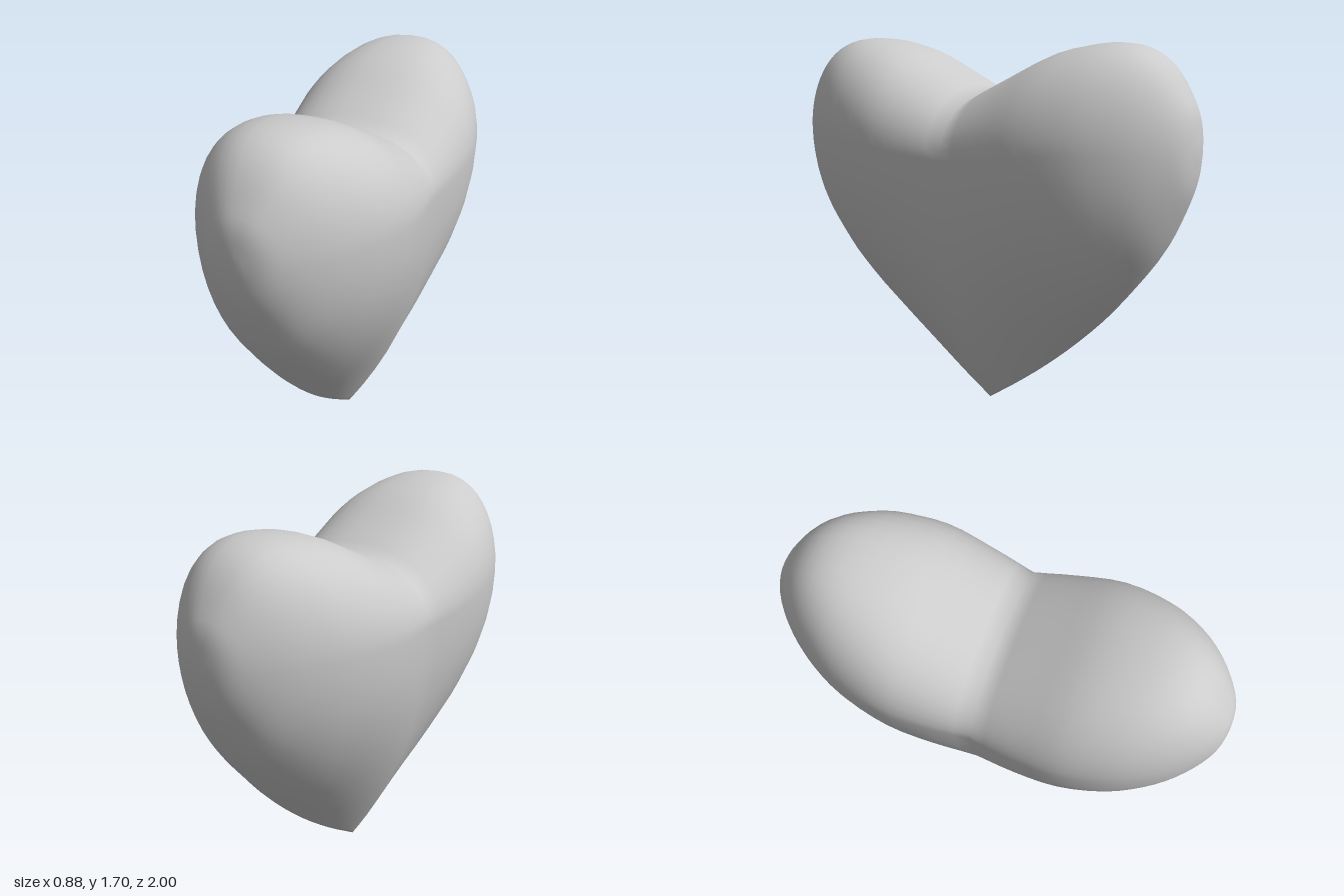
import * as THREE from 'three';

// Half of the heart, from the middle notch to the rounded end.
// [z, top y, bottom y], [half width, height of widest point, lower taper exponent]
const stations = [
  [[0, 1.46, 0], [0.4, 1.2, 2]],
  [[0.2, 1.56, 0.14], [0.43, 1.22, 1.9]],
  [[0.4, 1.655, 0.3], [0.44, 1.25, 1.7]],
  [[0.6, 1.695, 0.49], [0.4, 1.27, 1.4]],
  [[0.75, 1.68, 0.67], [0.33, 1.27, 1.2]],
  [[0.86, 1.61, 0.83], [0.25, 1.27, 1]],
  [[0.945, 1.49, 1.01], [0.16, 1.27, 1]],
  [[0.985, 1.4, 1.13], [0.085, 1.27, 1]],
  [[1, 1.27, 1.27], [0, 1.27, 1]],
];
const STEPS = 24; // sections per half
const SIDES = 40; // points around each section

function heartGeometry() {
  const spline = (k) => new THREE.CatmullRomCurve3(
    stations.map((s) => new THREE.Vector3(...s[k])), false, 'catmullrom', 0.5);
  const heights = spline(0);
  const widths = spline(1);
  const positions = [];
  const indices = [];

  // Both halves share the same sections, mirrored across z = 0
  for (let i = -STEPS; i <= STEPS; i++) {
    const t = Math.abs(i) / STEPS;
    const { x: z, y: top, z: bottom } = heights.getPoint(t);
    const { x: width, y: middle, z: taper } = widths.getPoint(t);
    for (let j = 0; j < SIDES; j++) {
      const a = (j / SIDES) * Math.PI * 2;
      const c = Math.cos(a);
      const s = Math.sin(a);
      // Rounded above the widest point, tapering to the keel below it
      const power = s >= 0 ? 0.85 : taper;
      positions.push(
        width * Math.sign(c) * Math.pow(Math.abs(c), power),
        middle + s * (s >= 0 ? top - middle : middle - bottom),
        Math.sign(i) * z);
    }
  }

  // Skin between neighbouring sections
  for (let i = 0; i < STEPS * 2; i++) {
    for (let j = 0; j < SIDES; j++) {
      const k = (j + 1) % SIDES;
      const a = i * SIDES + j;
      const b = i * SIDES + k;
      const c = b + SIDES;
      const d = a + SIDES;
      if (i < STEPS * 2 - 1) indices.push(a, c, d);
      if (i > 0) indices.push(a, b, c);
      else indices.push(b, c, d);
      if (i === 0) indices.splice(-6, 3); // the end closes to a point
    }
  }

  const geometry = new THREE.BufferGeometry();
  geometry.setAttribute('position', new THREE.Float32BufferAttribute(positions, 3));
  geometry.setIndex(indices);
  geometry.computeVertexNormals();

  // The points at each end all face straight outwards
  const normals = geometry.attributes.normal;
  for (let j = 0; j < SIDES; j++) {
    normals.setXYZ(j, 0, 0, -1);
    normals.setXYZ(STEPS * 2 * SIDES + j, 0, 0, 1);
  }
  return geometry;
}

export function createModel() {
  const model = new THREE.Group();
  model.name = 'heart';
  const body = new THREE.Mesh(
    heartGeometry(),
    new THREE.MeshStandardMaterial({ color: 0xcccccc, roughness: 0.8 }));
  body.name = 'heartBody';
  model.add(body);
  return model;
}
